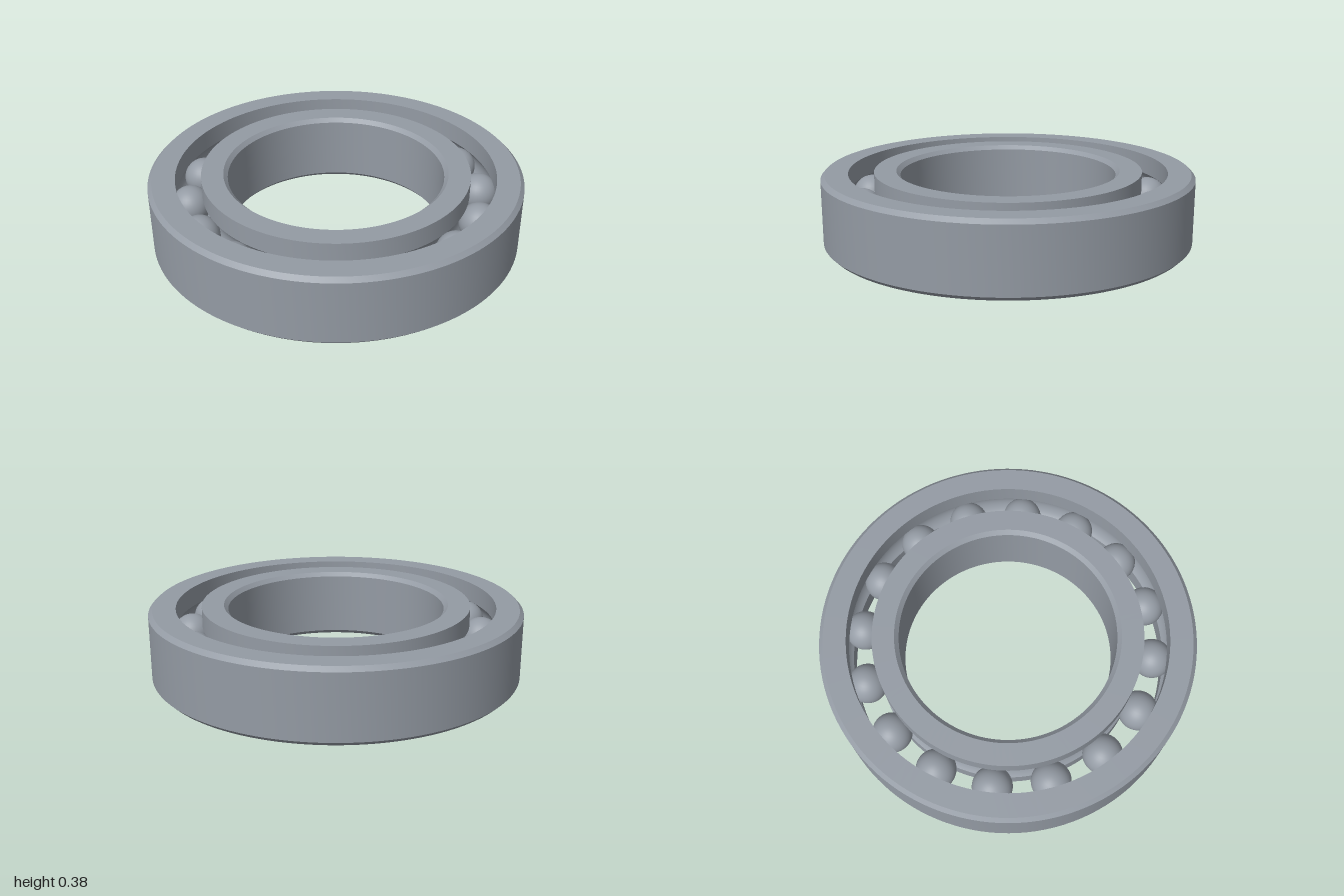
import * as THREE from 'three';
import { toCreasedNormals } from 'three/addons/utils/BufferGeometryUtils.js';

const HEIGHT = 0.385, MID = HEIGHT / 2, CHAMFER = 0.022;
const BORE = 0.58, INNER_LAND = 0.72, OUTER_LAND = 0.856, RIM = 1;
const PITCH = (INNER_LAND + OUTER_LAND) / 2;
const BALL_RADIUS = 0.107, GROOVE_RADIUS = 0.108, BALLS = 16;

// Arc of the ball groove in a ring's profile; side is +1 for the outer ring, -1 for the inner
function groove(side) {
  const half = Math.acos((OUTER_LAND - PITCH) / GROOVE_RADIUS);
  const points = [];
  for (let i = 0; i <= 14; i++) {
    const a = side * half * (1 - i / 7);
    points.push([PITCH + side * GROOVE_RADIUS * Math.cos(a), MID + GROOVE_RADIUS * Math.sin(a)]);
  }
  return points;
}

// Spin a closed counter-clockwise profile, keeping its edges sharp
function ring(name, profile, material) {
  const points = [...profile, profile[0]].map(([r, y]) => new THREE.Vector2(r, y));
  const mesh = new THREE.Mesh(toCreasedNormals(new THREE.LatheGeometry(points, 128), 0.5), material);
  mesh.name = name;
  return mesh;
}

export function createModel() {
  const model = new THREE.Group();
  model.name = 'ballBearing';
  const steel = new THREE.MeshStandardMaterial({ color: 0x949ba4 });
  steel.name = 'steel';

  // Outer ring: chamfered rim outside, ball groove inside
  model.add(ring('outerRing', [
    [RIM - CHAMFER, 0], [RIM, CHAMFER], [RIM, HEIGHT - CHAMFER], [RIM - CHAMFER, HEIGHT],
    [OUTER_LAND, HEIGHT], ...groove(1), [OUTER_LAND, 0],
  ], steel));

  // Inner ring: ball groove outside, chamfered bore inside
  model.add(ring('innerRing', [
    [INNER_LAND, 0], ...groove(-1), [INNER_LAND, HEIGHT],
    [BORE + CHAMFER, HEIGHT], [BORE, HEIGHT - CHAMFER], [BORE, CHAMFER], [BORE + CHAMFER, 0],
  ], steel));

  // Balls, evenly spaced between the rings
  const balls = new THREE.Group();
  balls.name = 'balls';
  const ballGeometry = new THREE.SphereGeometry(BALL_RADIUS, 32, 20);
  for (let i = 0; i < BALLS; i++) {
    const a = THREE.MathUtils.degToRad(11.95) + (i / BALLS) * Math.PI * 2;
    const ball = new THREE.Mesh(ballGeometry, steel);
    ball.name = 'ball';
    ball.position.set(PITCH * Math.cos(a), MID, PITCH * Math.sin(a));
    balls.add(ball);
  }
  model.add(balls);
  return model;
}
